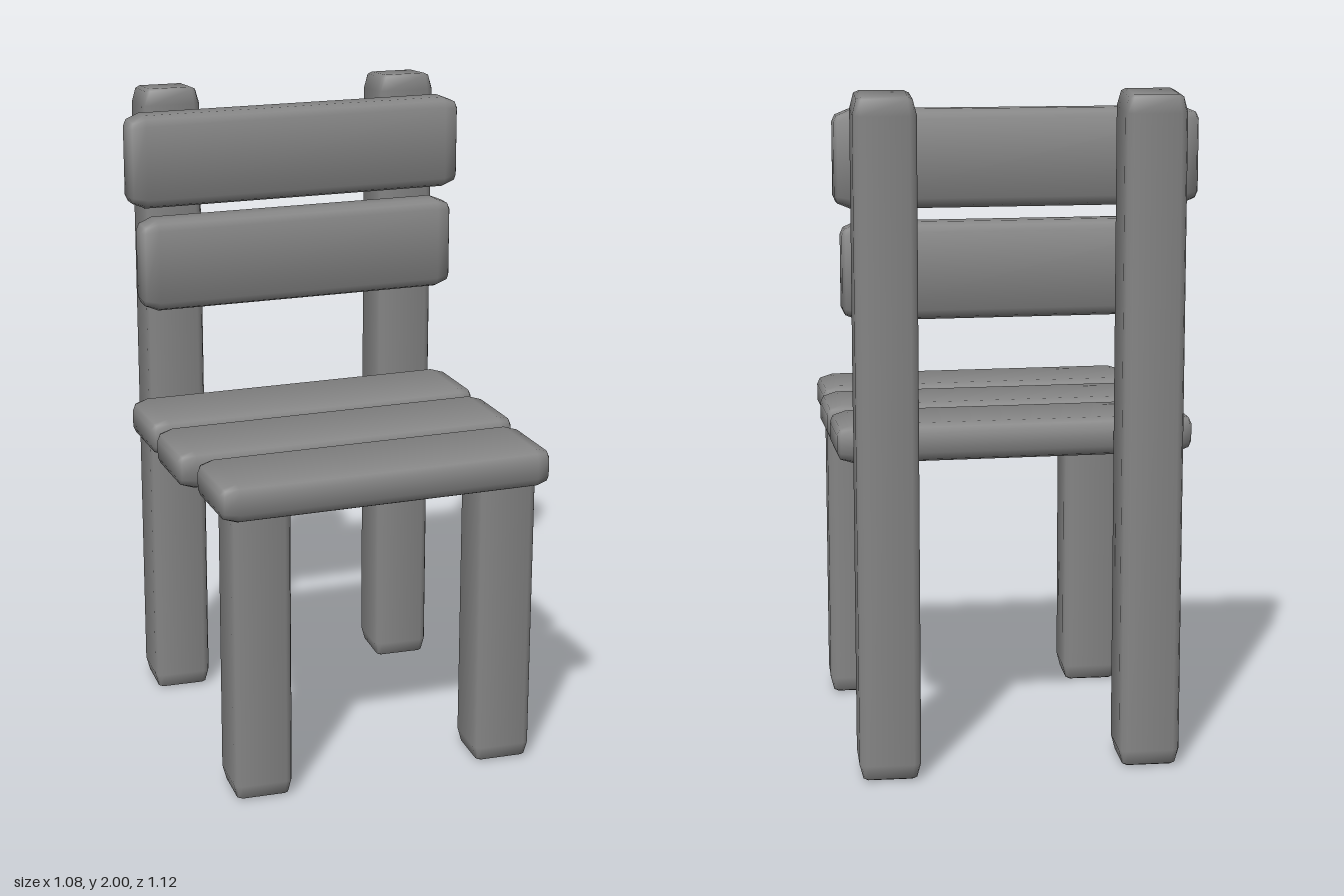
import * as THREE from 'three';
import { RoundedBoxGeometry } from 'three/addons/geometries/RoundedBoxGeometry.js';

const material = new THREE.MeshStandardMaterial({ color: 0x848484 });

const SHOULDER = 0.05; // how far from its ends a timber starts to taper
const SOFTNESS = 0.4; // how far the shading rolls round the long edges

// Worn timber that fills the box between two corners and runs along one axis;
// turn twists its section about y, topSlope slants its top down to the back
function timber(name, axis, min, max, { radius = 0.03, turn = 0, topSlope = 0 } = {}) {
  const lo = new THREE.Vector3(...min), hi = new THREE.Vector3(...max);
  const size = hi.clone().sub(lo), centre = lo.clone().add(hi).multiplyScalar(0.5);
  const geometry = new RoundedBoxGeometry(size.x, size.y, size.z, 1, radius);
  const p = geometry.attributes.position, n = geometry.attributes.normal;
  const half = size[axis] / 2;
  const v = new THREE.Vector3(), side = new THREE.Vector3();

  for (let i = 0; i < p.count; i++) {
    v.fromBufferAttribute(p, i);
    side.set(Math.sign(v.x), Math.sign(v.y), Math.sign(v.z));
    const end = side[axis];

    // Pull the shoulder back from the end and narrow the end itself
    if (Math.abs(v[axis]) < half - radius + 0.001) {
      v[axis] = end * (half - SHOULDER);
    } else {
      const along = v[axis];
      v.multiplyScalar(0.94);
      v[axis] = along;
    }
    p.setXYZ(i, v.x, v.y, v.z);

    // Roll the normals outwards across the section
    side[axis] = 0;
    v.fromBufferAttribute(n, i).addScaledVector(side, SOFTNESS).normalize();
    n.setXYZ(i, v.x, v.y, v.z);
  }

  geometry.rotateY(turn);
  geometry.computeBoundingBox();
  const actual = geometry.boundingBox.getSize(new THREE.Vector3());
  geometry.scale(size.x / actual.x, size.y / actual.y, size.z / actual.z);

  for (let i = 0; i < p.count; i++) {
    if (p.getY(i) > 0) p.setY(i, p.getY(i) + topSlope * (p.getZ(i) - size.z / 2));
  }

  const mesh = new THREE.Mesh(geometry, material);
  mesh.name = name;
  mesh.position.copy(centre);
  return mesh;
}

export function createModel() {
  const chair = new THREE.Group();
  chair.name = 'chair';

  // Seat planks, front to back: x and z limits
  const seat = new THREE.Group();
  seat.name = 'seat';
  [
    ['frontSeatPlank', -0.51, 0.515, 0.272, 0.56],
    ['middleSeatPlank', -0.54, 0.535, -0.05, 0.235],
    ['rearSeatPlank', -0.53, 0.537, -0.37, -0.083],
  ].forEach(([name, x0, x1, z0, z1]) =>
    seat.add(timber(name, 'x', [x0, 0.91, z0], [x1, 1.025, z1])));

  // Backrest planks: x and y limits
  const backrest = new THREE.Group();
  backrest.name = 'backrest';
  [
    ['lowerBackPlank', -0.507, 0.515, 1.33, 1.615],
    ['upperBackPlank', -0.54, 0.535, 1.655, 1.94],
  ].forEach(([name, x0, x1, y0, y1]) =>
    backrest.add(timber(name, 'x', [x0, y0, -0.355], [x1, y1, -0.238])));

  // Short front legs and tall back posts, their sections turned a little
  const legs = new THREE.Group();
  legs.name = 'legs';
  const worn = { radius: 0.022, turn: -0.055 };
  [['right', -0.46], ['left', 0.315]].forEach(([side, x]) => {
    legs.add(
      timber(side + 'FrontLeg', 'y', [x, 0, 0.303], [x + 0.187, 0.97, 0.492], worn),
      timber(side + 'BackPost', 'y', [x, 0, -0.56], [x + 0.188, 2, -0.365], { ...worn, topSlope: 0.08 }),
    );
  });

  chair.add(seat, backrest, legs);
  return chair;
}
